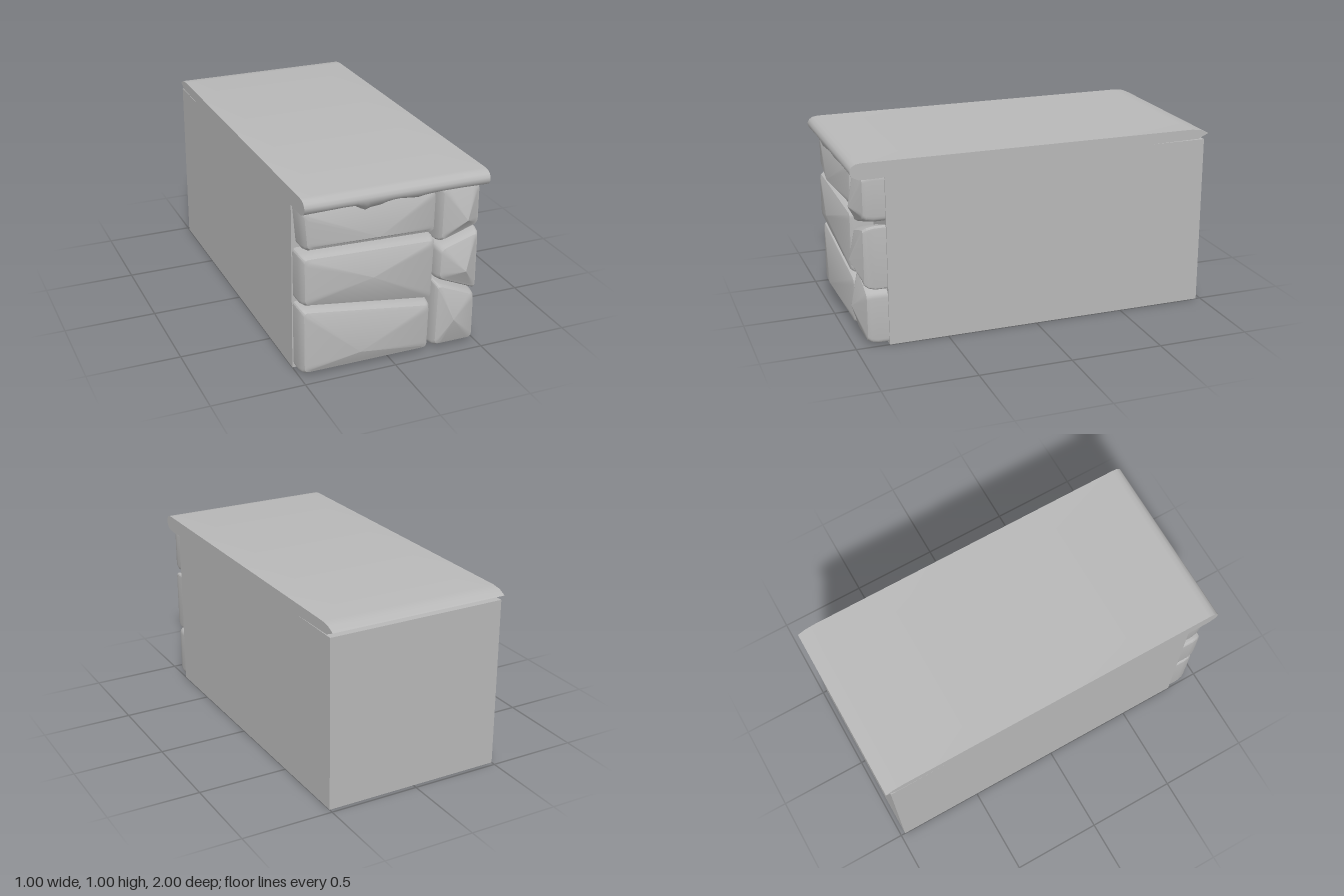
import * as THREE from 'three';
import { toCreasedNormals } from 'three/addons/utils/BufferGeometryUtils.js';

function build(points, index, crease) {
  const g = new THREE.BufferGeometry();
  g.setAttribute('position', new THREE.Float32BufferAttribute(points.flat(), 3));
  g.setIndex(index);
  return toCreasedNormals(g, crease);
}

// Moves every side of a counter-clockwise polygon inwards by d.
function inset(corners, d) {
  const n = corners.length;
  const dir = (a, b) => new THREE.Vector2(b[0] - a[0], b[1] - a[1]).normalize();
  return corners.map((c, i) => {
    const u = dir(corners[(i + n - 1) % n], c);
    const v = dir(c, corners[(i + 1) % n]);
    const k = d / u.cross(v);
    return [c[0] + (v.x - u.x) * k, c[1] + (v.y - u.y) * k];
  });
}

// Rounds each corner with a short quadratic curve.
function roundCorners(corners, r, steps = 4) {
  const n = corners.length, out = [];
  corners.forEach((c, i) => {
    const p = new THREE.Vector2(...c);
    const toward = (q) => new THREE.Vector2(...q).sub(p).setLength(r).add(p);
    const curve = new THREE.QuadraticBezierCurve(
      toward(corners[(i + n - 1) % n]), p, toward(corners[(i + 1) % n]));
    out.push(...curve.getPoints(steps).map((q) => [q.x, q.y]));
  });
  return out;
}

// A stone: rounded rim rings closed by facets meeting at one peak.
function stoneGeometry(corners, peak, rim) {
  const levels = [[0, 0.8], [0, rim - 0.06], [0.006, rim - 0.025], [0.016, rim - 0.006], [0.03, rim]];
  const points = [], index = [];
  let n = 0;
  for (const [d, z] of levels) {
    const ring = roundCorners(inset(corners, d), 0.025);
    n = ring.length;
    ring.forEach(([x, y]) => points.push([x, y, z]));
  }
  for (let l = 0; l < levels.length - 1; l++) {
    for (let j = 0; j < n; j++) {
      const a = l * n + j, b = l * n + (j + 1) % n;
      index.push(a, b, b + n, a, b + n, a + n);
    }
  }
  const top = (levels.length - 1) * n;
  points.push(peak);
  for (let j = 0; j < n; j++) index.push(top + j, top + (j + 1) % n, top + n);
  return build(points, index, 0.4);
}

// The top slab: a (z, y) section swept along x, its front lip sagging by d.
function slabGeometry() {
  const section = (d) => [
    [-0.94, 0.945], [-1, 0.972], [-0.955, 0.993], [-0.9, 1], [0.94, 1], [0.968, 0.996],
    [0.988, 0.984], [0.998, 0.967], [0.998, 0.95], [0.986, 0.93 + d * 0.5],
    [0.955, 0.914 + d], [0.9, 0.912 + d], [0.8, 0.915]];
  const sag = [[-0.5, 0], [-0.38, 0.004], [-0.28, 0.008], [-0.22, 0.004], [-0.19, -0.014],
    [-0.165, -0.026], [-0.14, -0.017], [-0.08, -0.012], [-0.03, 0.002], [0.02, 0.005],
    [0.08, -0.004], [0.12, -0.007], [0.17, 0], [0.23, 0.006], [0.35, 0.005], [0.5, 0]];
  const points = [], index = [];
  const n = section(0).length;
  for (const [x, d] of sag) section(d).forEach(([z, y]) => points.push([x, y, z]));
  for (let i = 0; i < sag.length - 1; i++) {
    for (let j = 0; j < n; j++) {
      const a = i * n + j, b = i * n + (j + 1) % n;
      index.push(a, b, b + n, a, b + n, a + n);
    }
  }
  // end caps
  const contour = section(0).reverse().map((p) => new THREE.Vector2(...p));
  const last = (sag.length - 1) * n;
  for (const t of THREE.ShapeUtils.triangulateShape(contour, [])) {
    const [a, b, c] = t.map((k) => n - 1 - k);
    index.push(a, b, c, last + a, last + c, last + b);
  }
  return build(points, index, 0.8);
}

export function createModel() {
  const model = new THREE.Group();
  model.name = 'stoneBlock';
  const grey = new THREE.MeshStandardMaterial({ color: 0xb8b8b8 });
  grey.name = 'stone grey';
  const add = (name, geometry) => {
    const mesh = new THREE.Mesh(geometry, grey);
    mesh.name = name;
    model.add(mesh);
    return mesh;
  };

  // core block behind the stones
  add('body', new THREE.BoxGeometry(1, 0.94, 1.795)).position.set(0, 0.47, -0.0775);
  add('topSlab', slabGeometry());

  // facing stones: corners from upper left, counter-clockwise; peak; rim depth
  const stones = [
    ['upperWideStone', [[-0.495, 0.925], [-0.475, 0.7], [0.238, 0.68], [0.243, 0.93]], [-0.1, 0.745, 0.99], 0.945],
    ['middleWideStone', [[-0.495, 0.683], [-0.493, 0.405], [0.23, 0.307], [0.24, 0.66]], [-0.13, 0.53, 0.995], 0.95],
    ['lowerWideStone', [[-0.495, 0.387], [-0.493, 0.01], [0.224, 0.01], [0.23, 0.285]], [-0.19, 0.11, 0.98], 0.94],
    ['upperSmallStone', [[0.265, 0.925], [0.258, 0.61], [0.492, 0.685], [0.492, 0.925]], [0.39, 0.745, 0.99], 0.94],
    ['middleSmallStone', [[0.26, 0.588], [0.253, 0.408], [0.492, 0.305], [0.492, 0.662]], [0.39, 0.46, 0.995], 0.945],
    ['lowerSmallStone', [[0.255, 0.39], [0.243, 0.01], [0.492, 0.01], [0.492, 0.288]], [0.34, 0.18, 0.98], 0.935],
  ];
  for (const [name, corners, peak, rim] of stones) add(name, stoneGeometry(corners, peak, rim));

  return model;
}
